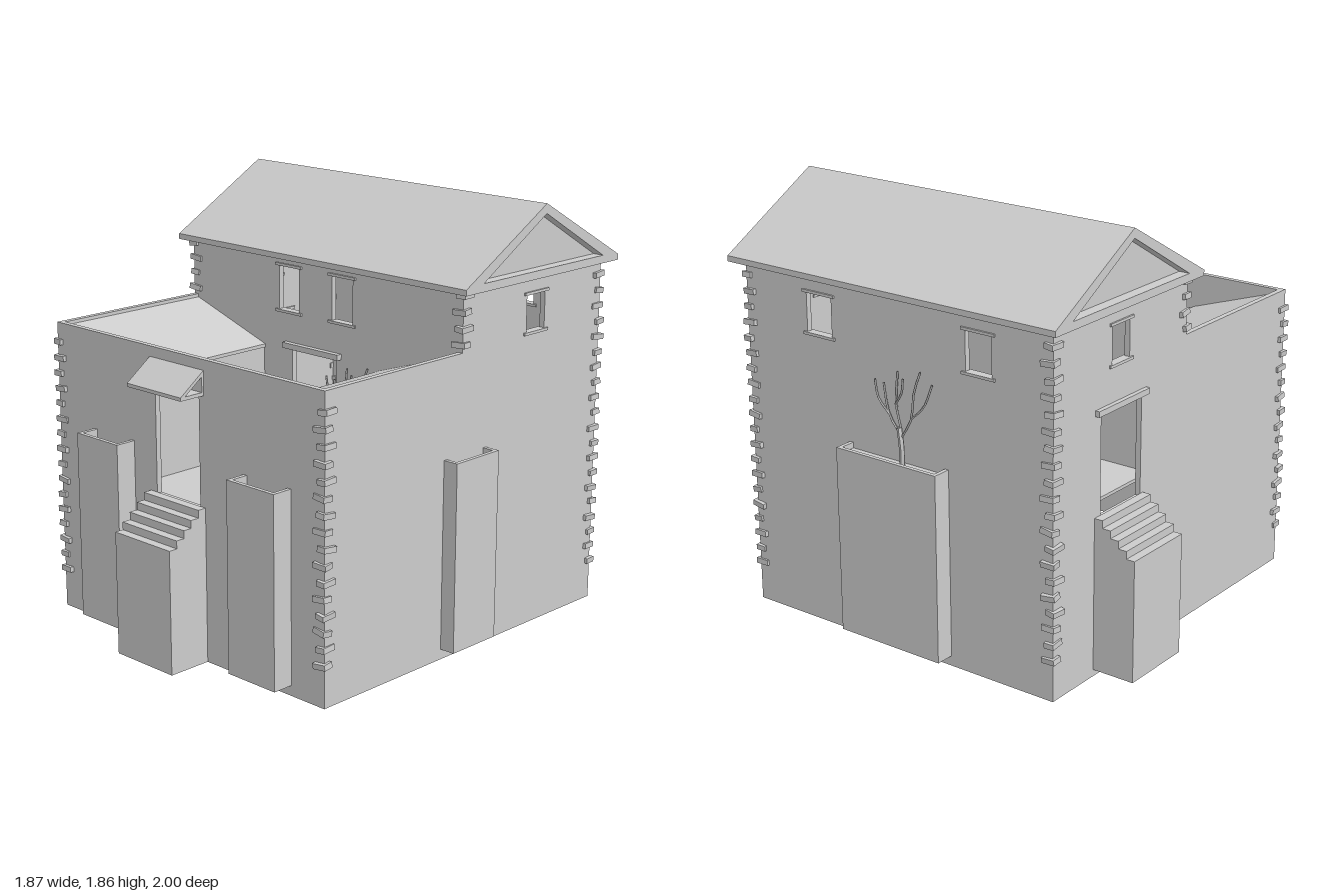
import * as THREE from 'three';

const mat = new THREE.MeshStandardMaterial({ color: 0xcccccc, flatShading: true, side: THREE.DoubleSide });
const L = -0.74, R = 0.86, F = 0.8, B = -0.915; // outer wall planes
const T = 0.025, FLOOR = 0.66, LOW = 1.3, HIGH = 1.56;

export function createModel() {
  const model = new THREE.Group();

  const add = (name, geo, parent = model) => {
    const m = new THREE.Mesh(geo, mat);
    m.name = name;
    parent.add(m);
    return m;
  };
  // box given by its limits
  const box = (name, x0, x1, y0, y1, z0, z1, parent) => {
    const m = add(name, new THREE.BoxGeometry(x1 - x0, y1 - y0, z1 - z0), parent);
    m.position.set((x0 + x1) / 2, (y0 + y1) / 2, (z0 + z1) / 2);
    return m;
  };
  const outline = (pts) => new THREE.Shape(pts.map((p) => new THREE.Vector2(p[0], p[1])));
  const rect = ([a, b, c, d]) => [[a, c], [b, c], [b, d], [a, d]];
  const extrude = (pts, holes, depth) => {
    const s = outline(pts);
    holes.forEach((h) => s.holes.push(outline(h)));
    return new THREE.ExtrudeGeometry(s, { depth, bevelEnabled: false });
  };
  // plate facing z: points are (x, y), from z0 to z0 + depth
  const plateZ = (name, pts, holes, z0, depth = T) => {
    const m = add(name, extrude(pts, holes, depth));
    m.position.z = z0;
    return m;
  };
  // plate facing x: points are (z, y), from x0 to x0 + depth
  const plateX = (name, pts, holes, x0, depth = T) => {
    const m = add(name, extrude(pts, holes, depth));
    m.rotation.y = -Math.PI / 2;
    m.position.x = x0 + depth;
    return m;
  };

  // Openings: [from, to, bottom, top]
  const door = [-0.12, 0.165, 0.67, 1.15];
  const sideDoor = [-0.61, -0.31, 0.69, 1.13];
  const gableWindow = [-0.54, -0.4, 1.315, 1.475];
  const frontWindows = [[-0.2, -0.06, 1.315, 1.51], [0.118, 0.26, 1.315, 1.51]];
  const backWindows = [[-0.455, -0.305, 1.305, 1.475], [0.375, 0.53, 1.305, 1.475]];

  // Walls
  plateZ('frontWall', rect([L, R, 0, LOW]), [rect(door)], F - T);
  plateZ('houseFrontWall', rect([L + T, R - T, FLOOR, HIGH]), [door, ...frontWindows].map(rect), -T);
  plateZ('backWall', rect([L, R, 0, HIGH]), backWindows.map(rect), B);
  const sideProfile = [[B, 0], [F, 0], [F, LOW], [0, LOW], [0, HIGH], [B, HIGH]];
  plateX('rightSideWall', sideProfile, [rect(gableWindow)], L, T);
  model.children.at(-1).geometry.dispose();
  model.children.at(-1).geometry = extrude(sideProfile, [rect(gableWindow), rect(sideDoor)], T);
  plateX('leftSideWall', sideProfile, [rect(gableWindow)], R - T);
  box('floor', -0.58, R - T, FLOOR - 0.015, FLOOR, B + T, F - T);

  // Courtyard partitions and inward sloping lean-to roofs
  box('rightPartition', -0.3, -0.285, FLOOR, 1.13, 0, F - T);
  box('leftPartition', 0.405, 0.42, FLOOR, 1.13, 0, F - T);
  plateZ('rightLeanRoof', [[L + T, 1.27], [-0.28, 1.125], [-0.28, 1.14], [L + T, 1.285]], [], 0, F - T);
  plateZ('leftLeanRoof', [[R - T, 1.27], [0.4, 1.125], [0.4, 1.14], [R - T, 1.285]], [], 0, F - T);

  // Main roof: triangular frame along x with a recessed gable
  const gable = [[0.045, 1.55], [0.045, 1.575], [-0.46, 1.86], [-0.97, 1.575], [-0.97, 1.55]];
  const recess = [[-0.065, 1.585], [-0.46, 1.818], [-0.86, 1.585]];
  plateX('mainRoof', gable, [recess], -0.79, 1.7);
  plateX('gableInfill', recess, [], L, R - L);

  // Awning above the front door
  plateX('frontAwning', [[F, 1.15], [0.925, 1.15], [0.925, 1.165], [F, 1.255]],
    [[[F + 0.01, 1.165], [0.9, 1.165], [F + 0.01, 1.23]]], -0.14, 0.325);

  // Lintels, sills and jambs
  const trimZ = (name, [a, b, c, d], z, sill) => {
    const z0 = z - T - 0.008, z1 = z + 0.008;
    box(name + 'Lintel', a - 0.008, b + 0.008, d, d + 0.012, z0, z1);
    if (sill) box(name + 'Sill', a - 0.008, b + 0.008, c - 0.012, c, z0, z1);
    for (const x of [a, b - 0.01]) box(name + 'Jamb', x, x + 0.01, c, d, z - T, z);
  };
  const trimX = (name, [a, b, c, d], x, sill) => {
    const x0 = x - 0.008, x1 = x + T + 0.008;
    box(name + 'Lintel', x0, x1, d, d + 0.012, a - 0.008, b + 0.008);
    if (sill) box(name + 'Sill', x0, x1, c - 0.012, c, a - 0.008, b + 0.008);
    for (const z of [a, b - 0.01]) box(name + 'Jamb', x, x + T, c, d, z, z + 0.01);
  };
  trimZ('frontDoor', door, F);
  trimZ('houseDoor', door, 0);
  box('houseDoorBeam', -0.15, 0.185, 1.15, 1.175, 0, 0.025);
  frontWindows.forEach((w) => trimZ('frontWindow', w, 0, true));
  backWindows.forEach((w) => trimZ('backWindow', w, B + T, true));
  trimX('gableWindow', gableWindow, L, true);
  trimX('gableWindow', gableWindow, R - T, true);
  trimX('sideDoor', sideDoor, L);
  box('sideDoorBeam', L - 0.02, L + T, 1.13, 1.155, -0.64, -0.29);

  // Hollow stairs, built along +x from the wall and turned into place
  const stairs = (name, bottom, top, low, length, width) => {
    const g = new THREE.Group();
    g.name = name;
    const n = 5, run = length / n, rise = (top - low) / (n - 1);
    const upper = [], lower = [];
    for (let i = 0; i < n; i++) {
      const y = top - i * rise, t = 0.015;
      upper.push([i * run, y], [(i + 1) * run, y]);
      lower.push([Math.max(0, i * run - t), y - t], [(i + 1) * run - t, y - t]);
    }
    const shell = [...upper, [length, bottom], [length - 0.015, bottom], ...lower.reverse()];
    add('steps', extrude(shell, [], width), g).position.z = -width / 2;
    const side = extrude([[0, bottom], ...upper, [length, bottom]], [], 0.015);
    add('stairSide', side, g).position.z = -width / 2;
    add('stairSide', side, g).position.z = width / 2 - 0.015;
    model.add(g);
    return g;
  };
  const front = stairs('frontStairs', 0, 0.675, 0.54, 0.2, 0.335);
  front.rotation.y = -Math.PI / 2;
  front.position.set(0.018, 0, F);
  const side = stairs('sideStairs', 0.03, 0.7, 0.565, 0.195, 0.34);
  side.rotation.y = Math.PI;
  side.position.set(L, 0, -0.47);

  // Tall three-sided chutes standing against the walls
  const chute = (name, x, z, angle, width, depth) => {
    const g = new THREE.Group();
    g.name = name;
    const h = width / 2, t = 0.018;
    box('chuteFront', -h, h, 0.045, 0.87, depth - t, depth, g);
    box('chuteSide', -h, -h + t, 0.045, 0.87, -T - 0.005, depth - t, g);
    box('chuteSide', h - t, h, 0.045, 0.87, -T - 0.005, depth - t, g);
    g.position.set(x, 0, z);
    g.rotation.y = angle;
    model.add(g);
    return g;
  };
  chute('frontChute', -0.38, F, 0, 0.26, 0.095);
  chute('frontChute', 0.545, F, 0, 0.265, 0.095);
  chute('sideChute', R, -0.03, Math.PI / 2, 0.265, 0.07);
  const back = chute('backPlanter', 0.042, B, Math.PI, 0.525, 0.085);
  box('planterSoil', -0.25, 0.25, 0.83, 0.845, 0, 0.07, back);

  // Bare tree: trunk and branches as (x, y) paths from the root
  const tree = (name, x, y, z, scale) => {
    const g = new THREE.Group();
    g.name = name;
    const branches = [
      [[0, -0.03], [0.005, 0.07], [-0.005, 0.15]],
      [[0, 0.1], [0.06, 0.2], [0.07, 0.31], [0.1, 0.4]],
      [[0.06, 0.2], [0.12, 0.26], [0.16, 0.36]],
      [[0, 0.14], [-0.03, 0.24], [-0.02, 0.38]],
      [[0, 0.1], [-0.07, 0.19], [-0.09, 0.32]],
      [[-0.07, 0.19], [-0.12, 0.25], [-0.13, 0.33]],
      [[-0.03, 0.24], [0.01, 0.3], [0.02, 0.36]],
    ];
    branches.forEach((p, i) => {
      const path = new THREE.CatmullRomCurve3(p.map(([a, b], k) => new THREE.Vector3(a, b, 0.008 * Math.sin(i + k))));
      add('branch', new THREE.TubeGeometry(path, 6, i ? 0.005 : 0.012, 5), g);
    });
    g.position.set(x, y, z);
    g.scale.setScalar(scale);
    model.add(g);
    return g;
  };
  tree('backTree', 0, 0.86, B - 0.025, 1).rotation.y = Math.PI;
  tree('courtyardTree', 0.27, 0.75, 0.04, 1);

  // Rough corner stones, alternately long in x and in z
  let seed = 7;
  const jitter = (a) => {
    seed = (seed * 16807) % 2147483647;
    return (seed / 2147483647 - 0.5) * 2 * a;
  };
  const corner = (x, z, sx, sz, y0, y1) => {
    for (let y = y0, i = 0; y < y1; y += 0.069, i++) {
      const w = i % 2 ? 0.045 : 0.065, d = i % 2 ? 0.065 : 0.045;
      const stone = add('cornerStone', new THREE.BoxGeometry(w, 0.024, d));
      stone.position.set(x + sx * (0.013 - w / 2 + jitter(0.004)), y, z + sz * (0.013 - d / 2 + jitter(0.004)));
      stone.rotation.set(jitter(0.12), jitter(0.12), jitter(0.12));
    }
  };
  for (const [x, sx] of [[L, -1], [R, 1]]) {
    corner(x, F, sx, 1, 0.18, 1.25);
    corner(x, 0, sx, 1, 1.33, 1.55);
    corner(x, B, sx, -1, 0.18, 1.55);
  }
  return model;
}
